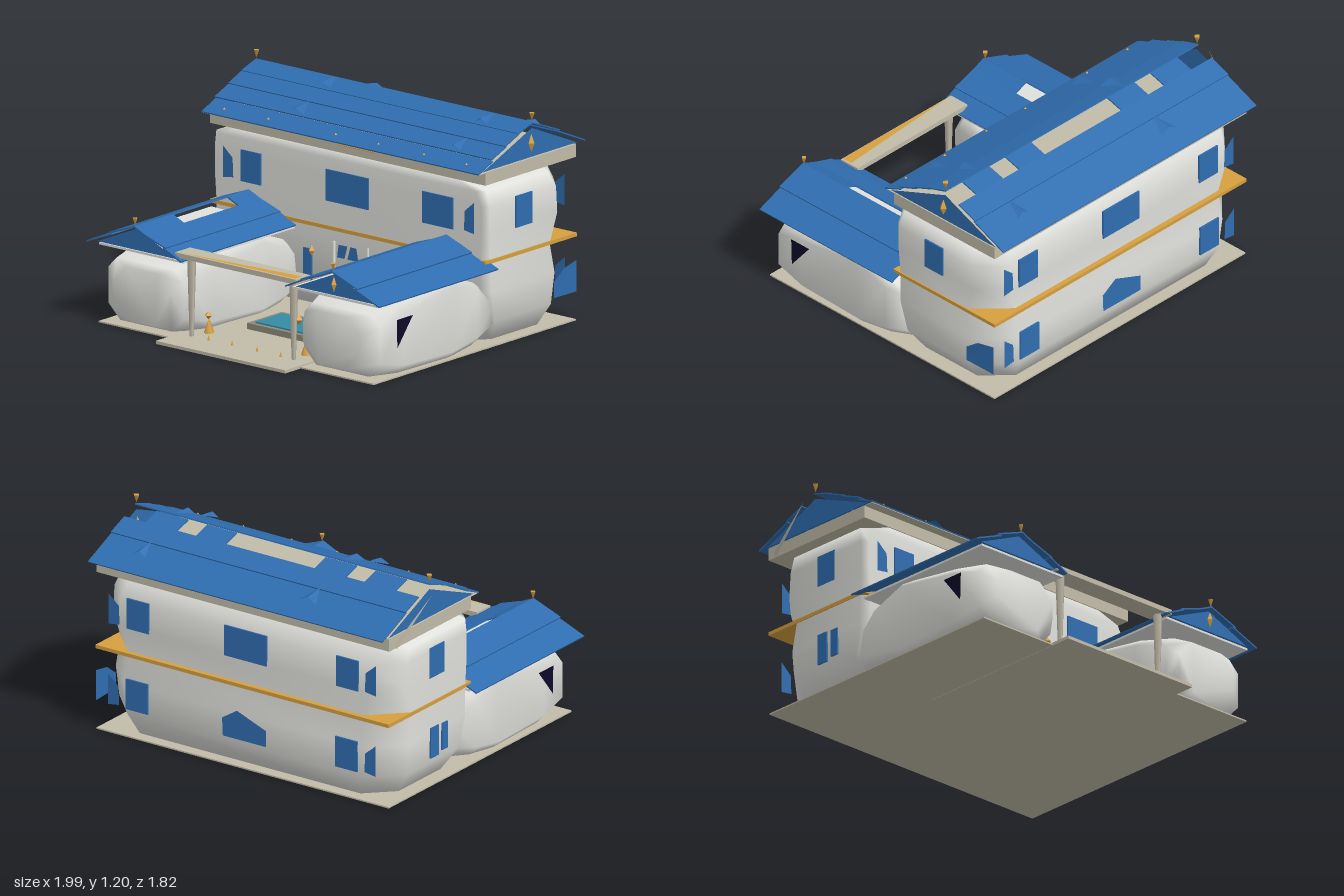
import * as THREE from 'three';

const mat = (name, color, side = THREE.FrontSide) => new THREE.MeshStandardMaterial({ name, color, side });

export function createModel() {
  const wall = mat('plaster white', 0xe0e0dc);
  const blue = mat('roof blue', 0x2f6db0, THREE.DoubleSide);
  const stone = mat('stone beige', 0xc2bba9, THREE.DoubleSide);
  const gold = mat('gold', 0xd6a040, THREE.DoubleSide);
  const teal = mat('pool teal', 0x358ba3);
  const navy = mat('dark navy', 0x0d0a28, THREE.DoubleSide);
  const trim = mat('pool border', 0x8f8a7c);
  const root = new THREE.Group();
  root.name = 'courtyardVilla';

  const add = (name, geo, material, x = 0, y = 0, z = 0) => {
    const m = new THREE.Mesh(geo, material);
    m.name = name;
    m.position.set(x, y, z);
    root.add(m);
    return m;
  };
  // box given by its limits
  const block = (name, material, x0, x1, y0, y1, z0, z1) =>
    add(name, new THREE.BoxGeometry(x1 - x0, y1 - y0, z1 - z0), material, (x0 + x1) / 2, (y0 + y1) / 2, (z0 + z1) / 2);
  // flat polygon from a few 3D corners
  const plate = (name, material, pts) => {
    const g = new THREE.BufferGeometry();
    g.setAttribute('position', new THREE.Float32BufferAttribute(pts.flat(), 3));
    const idx = [];
    for (let i = 1; i < pts.length - 1; i++) idx.push(0, i, i + 1);
    g.setIndex(idx);
    g.computeVertexNormals();
    return add(name, g, material);
  };
  // rectangle with corners cut by c on the low side and d on the high side
  const octagon = (a0, a1, b0, b1, c, d) => [
    [a0 + c, b0], [a1 - c, b0], [a1, b0 + c], [a1, b1 - d],
    [a1 - d, b1], [a0 + d, b1], [a0, b1 - d], [a0, b0 + c]];
  // smooth closed skin through rings, turned outwards by its volume
  const loft = (name, material, rings) => {
    const n = rings[0].length, pos = rings.flat(2), idx = [];
    for (let r = 0; r < rings.length - 1; r++) for (let i = 0; i < n; i++) {
      const a = r * n + i, b = r * n + (i + 1) % n;
      idx.push(a, b, b + n, a, b + n, a + n);
    }
    const top = (rings.length - 1) * n;
    for (let i = 1; i < n - 1; i++) idx.push(0, i + 1, i, top, top + i, top + i + 1);
    const v = (i) => new THREE.Vector3().fromArray(pos, i * 3);
    let volume = 0;
    for (let i = 0; i < idx.length; i += 3) volume += v(idx[i]).dot(v(idx[i + 1]).cross(v(idx[i + 2])));
    if (volume < 0) idx.reverse();
    const g = new THREE.BufferGeometry();
    g.setAttribute('position', new THREE.Float32BufferAttribute(pos, 3));
    g.setIndex(idx);
    g.computeVertexNormals();
    return add(name, g, material);
  };

  // ground and courtyard
  block('basePlate', stone, -0.94, 0.93, 0.002, 0.01, -0.84, 0.79);
  block('courtyardSlab', stone, -0.45, 0.43, 0, 0.017, -0.13, 0.91);
  block('poolBorder', trim, -0.235, 0.215, 0.017, 0.05, 0.15, 0.43);
  block('poolWater', teal, -0.2, 0.185, 0.05, 0.058, 0.19, 0.405);
  add('poolOrnament', new THREE.OctahedronGeometry(0.03), gold, -0.005, 0.08, 0.29);

  // main building: rings [y, x0, x1, z0, z1, back corner, front corner]
  loft('mainWalls', wall, [
    [0.005, -0.85, 0.84, -0.77, -0.2, 0.14, 0.06], [0.13, -0.93, 0.92, -0.83, -0.15, 0.18, 0.05],
    [0.3, -0.94, 0.93, -0.838, -0.118, 0.17, 0.04], [0.46, -0.938, 0.925, -0.815, -0.116, 0.18, 0.04],
    [0.62, -0.94, 0.93, -0.83, -0.115, 0.14, 0.03], [0.76, -0.94, 0.93, -0.82, -0.115, 0.14, 0.03],
    [0.84, -0.938, 0.9, -0.785, -0.115, 0.13, 0.04], [0.9, -0.8, 0.76, -0.74, -0.118, 0.12, 0.08],
  ].map(([y, ...o]) => octagon(...o).map(([x, z]) => [x, y, z])));
  block('floorBand', gold, -0.943, 0.933, 0.456, 0.476, -0.845, -0.11);
  block('eaveSoffit', stone, -0.945, 0.93, 0.885, 0.955, -0.842, -0.112);
  block('frontEaveBoard', stone, -0.945, 0.93, 0.951, 0.955, -0.112, -0.055);
  block('soffitGilding', gold, -0.07, 0.18, 0.924, 0.929, -0.112, -0.108);

  // wings: rings [z, outer x, inner x, y0, y1, bottom corner, top corner]
  for (const [s, name] of [[-1, 'rightWing'], [1, 'leftWing']]) {
    loft(name + 'Walls', wall, [
      [0.79, 0.84, 0.45, 0.05, 0.335, 0.11, 0.09], [0.73, 0.925, 0.41, 0.02, 0.355, 0.08, 0.06],
      [0.55, 0.938, 0.36, 0.01, 0.38, 0.05, 0.04], [0.15, 0.938, 0.35, 0.008, 0.43, 0.04, 0.03],
      [-0.05, 0.935, 0.36, 0.03, 0.37, 0.05, 0.04], [-0.2, 0.91, 0.4, 0.06, 0.28, 0.06, 0.06],
    ].map(([z, o, i, ...r]) => octagon(i, o, ...r).map(([x, y]) => [s * x, y, z])));
    const edges = [s * 0.945, s * 0.37].sort((a, b) => a - b);
    block(name + 'Eave', wall, ...edges, 0.42, 0.432, -0.12, 0.78);
    plate(name + 'DarkWindow', navy, [[s * 0.945, 0.32, 0.62], [s * 0.945, 0.165, 0.615], [s * 0.945, 0.32, 0.49]]);

    // wing roof strips [x, y, x, y, z0, z1] measured from the ridge
    const c = s < 0 ? -0.685 : 0.665;
    [[-0.32, 0.435, -0.15, 0.502, -0.15, 0.81], [-0.17, 0.505, 0.005, 0.57, -0.15, 0.81],
      [0.0, 0.57, 0.085, 0.532, 0.5, 0.81], [0.0, 0.57, 0.085, 0.532, -0.15, 0.06],
      [0.08, 0.535, 0.215, 0.49, -0.15, 0.81], [0.2, 0.49, 0.32, 0.435, -0.15, 0.81],
    ].forEach(([a, ya, b, yb, z0, z1]) => {
      const m = add(name + 'RoofStrip', new THREE.BoxGeometry(Math.hypot(b - a, yb - ya), 0.008, z1 - z0), blue,
        c - s * (a + b) / 2, (ya + yb) / 2, (z0 + z1) / 2);
      m.rotation.z = -s * Math.atan2(yb - ya, b - a);
    });
    plate(name + 'Gable', blue, [[c - 0.27, 0.437, 0.785], [c + 0.27, 0.437, 0.785], [c, 0.553, 0.785]]);
    add(name + 'Finial', new THREE.ConeGeometry(0.016, 0.045, 4), gold, c, 0.592, 0.8).rotation.x = Math.PI;
    if (s > 0) add(name + 'GableLantern', new THREE.OctahedronGeometry(0.018), gold, c, 0.5, 0.795).scale.y = 2.4;
  }

  // main roof strips across the building [z, y, z, y]
  const strips = [
    [-0.05, 0.957, -0.165, 1.005], [-0.155, 1.015, -0.275, 1.062], [-0.265, 1.064, -0.38, 1.11],
    [-0.37, 1.11, -0.49, 1.148], [-0.585, 1.108, -0.705, 1.06], [-0.695, 1.055, -0.91, 0.962]];
  const roofStrip = (name, [za, ya, zb, yb], x0, x1) => {
    const m = add(name, new THREE.BoxGeometry(x1 - x0, 0.007, Math.hypot(zb - za, yb - ya)), blue,
      (x0 + x1) / 2, (ya + yb) / 2, (za + zb) / 2);
    m.rotation.x = -Math.atan2(ya - yb, za - zb);
  };
  strips.forEach((p) => roofStrip('mainRoofStrip', p, -0.95, 0.935));
  // short pieces bridging the open ridge
  for (const [x0, x1] of [[-0.8, -0.6], [-0.48, -0.28], [0.29, 0.48], [0.6, 0.8]])
    roofStrip('ridgeBridge', [-0.48, 1.135, -0.6, 1.1], x0, x1);
  for (const x of [-0.945, 0.93]) {
    plate('mainGable', blue, [[x, 0.962, -0.09], [x, 0.962, -0.85], [x, 1.118, -0.485]]);
    add('ridgeFinial', new THREE.ConeGeometry(0.018, 0.045, 4), gold, x, 1.178, -0.485).rotation.x = Math.PI;
  }
  add('gableLantern', new THREE.OctahedronGeometry(0.022), gold, 0.935, 1.04, -0.475).scale.y = 2.2;
  plate('gableBrace', stone, [[-0.95, 0.88, -0.78], [-0.95, 0.91, -0.8], [-0.99, 1.11, -0.52]]);

  // low triangular roof crests [z at point, y, z at base, y]
  for (const [x, w] of [[-0.4, 0.055], [0.68, 0.04]])
    for (const [zt, yt, zb, yb] of [[-0.26, 1.069, -0.155, 1.05], [-0.48, 1.156, -0.37, 1.145], [-0.7, 1.068, -0.81, 1.045]]) {
      plate('roofCrest', blue, [[x, yt, zt], [x - w, yb - 0.02, zb], [x, yb + 0.005, zb]]);
      plate('roofCrest', blue, [[x, yt, zt], [x, yb + 0.005, zb], [x + w, yb - 0.02, zb]]);
    }
  for (const x of [-0.83, -0.53, -0.07, 0.22, 0.53, 0.82])
    add('eaveLantern', new THREE.OctahedronGeometry(0.008), gold, x, 0.985, -0.09);

  // windows: flat plates on each wall
  const pane = (x, y, z, w, h, turn = 0) => {
    add('window', new THREE.BoxGeometry(w, h, 0.009), blue, x, y, z).rotation.y = turn;
  };
  // narrow tapered window near a corner
  const cornerPane = (s, y, z) => plate('cornerWindow', blue, [
    [s * 0.855, y - 0.085, z], [s * 0.855, y + 0.085, z], [s * 0.79, y + 0.03, z], [s * 0.785, y - 0.075, z]]);
  for (const [x, w] of [[-0.665, 0.135], [-0.01, 0.29], [0.605, 0.21]]) pane(x, 0.695, -0.112, w, 0.17);
  for (const [y, z] of [[0.695, -0.832], [0.245, -0.84]])
    for (const x of [-0.67, 0.67]) pane(x, y, z, 0.14, 0.17);
  pane(-0.02, 0.695, -0.832, 0.27, 0.17);
  plate('backLowerWindow', blue, [[0.12, 0.16, -0.842], [0.125, 0.26, -0.842], [0.03, 0.32, -0.842],
    [-0.155, 0.25, -0.842], [-0.155, 0.16, -0.842]]);
  for (const s of [-1, 1]) {
    cornerPane(s, 0.695, -0.11);
    cornerPane(s, 0.695, -0.836);
    cornerPane(s, 0.245, -0.84);
    pane(s * 0.938, 0.695, -0.41, 0.13, 0.17, Math.PI / 2);
  }
  plate('sideWindow', blue, [[0.942, 0.165, -0.65], [0.942, 0.25, -0.65], [0.942, 0.31, -0.73],
    [0.935, 0.33, -0.838], [0.935, 0.16, -0.838]]);
  pane(-0.941, 0.245, -0.435, 0.07, 0.17, Math.PI / 2);
  pane(-0.941, 0.25, -0.345, 0.05, 0.15, Math.PI / 2);
  pane(-0.28, 0.245, -0.112, 0.06, 0.17);
  pane(0.295, 0.24, -0.112, 0.12, 0.16);
  plate('windowPoint', blue, [[0.235, 0.3, -0.11], [0.275, 0.3, -0.11], [0.265, 0.41, -0.11]]);

  // entrance door with thin frame
  plate('doorPanel', blue, [[-0.12, 0.1, -0.1], [0.055, 0.1, -0.1], [0.055, 0.18, -0.1], [0.01, 0.2, -0.1],
    [0.06, 0.27, -0.1], [-0.05, 0.27, -0.1], [-0.03, 0.2, -0.1]]);
  plate('doorLight', blue, [[-0.07, 0.32, -0.1], [-0.02, 0.32, -0.1], [0, 0.39, -0.1], [-0.06, 0.39, -0.1]]);
  plate('doorLight', blue, [[0, 0.32, -0.1], [0.075, 0.32, -0.1], [0.06, 0.39, -0.1], [0.02, 0.39, -0.1]]);
  for (const x of [-0.1, 0.13]) block('doorPost', wall, x - 0.004, x + 0.004, 0.017, 0.4, -0.118, -0.103);
  add('wallLamp', new THREE.OctahedronGeometry(0.02), gold, -0.235, 0.33, -0.09).scale.y = 1.5;
  add('wallLamp', new THREE.OctahedronGeometry(0.028), gold, 0.228, 0.315, -0.09).scale.y = 1.6;

  // gate between the wings
  block('gateCanopy', stone, -0.42, 0.4, 0.448, 0.475, 0.67, 0.79);
  plate('gateGilding', gold, [[-0.4, 0.478, 0.785], [0.39, 0.478, 0.785], [0.39, 0.478, 0.725]]);
  for (const x of [-0.35, 0.345]) {
    add('gatePost', new THREE.CylinderGeometry(0.025, 0.012, 0.42, 5), stone, x, 0.235, 0.74);
    add('guardianBody', new THREE.ConeGeometry(0.028, 0.08, 5), gold, x * 0.95, 0.06, 0.62);
    add('guardianHead', new THREE.OctahedronGeometry(0.022), gold, x * 0.95, 0.115, 0.625);
  }
  for (const x of [-0.25, -0.09, 0.08, 0.24])
    add('pathLight', new THREE.ConeGeometry(0.01, 0.03, 4), gold, x, 0.03, 0.72);
  return root;
}
